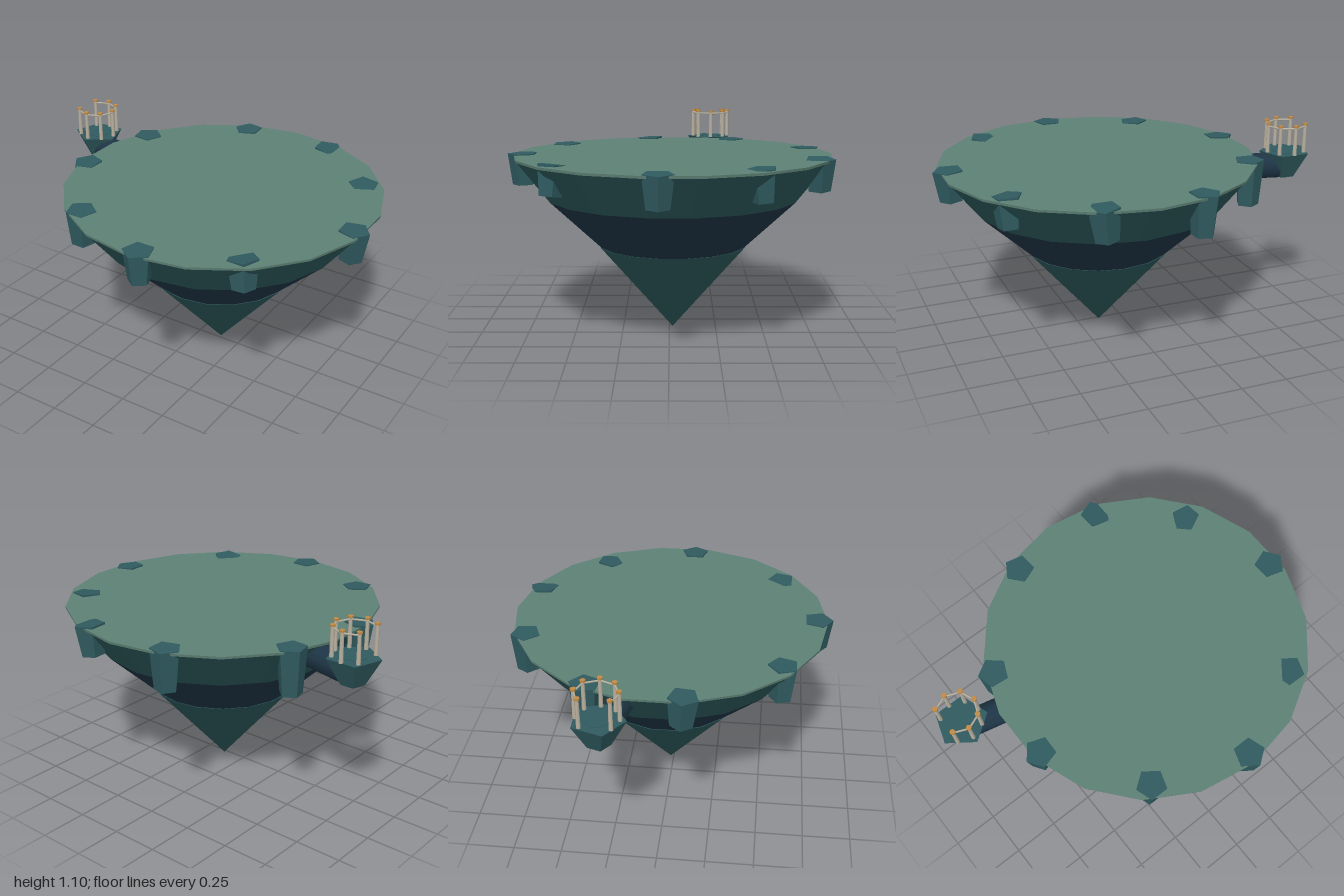
import * as THREE from 'three';

const mat = (color, flatShading = false) => new THREE.MeshStandardMaterial({ color, flatShading });

export function createModel() {
  const model = new THREE.Group();
  const grass = mat(0x5d8074), rock = mat(0x2b5658), darkRock = mat(0x1e3546);
  const boulderMat = mat(0x2f5a5f, true), stone = mat(0xb9b1a0), bronze = mat(0xc08a45);

  const add = (parent, name, geometry, material, x = 0, y = 0, z = 0) => {
    const mesh = new THREE.Mesh(geometry, material);
    mesh.name = name;
    mesh.position.set(x, y, z);
    parent.add(mesh);
    return mesh;
  };
  // Tapered drum spanning y0..y1
  const drum = (parent, name, rTop, rBottom, y0, y1, sides, material, x = 0, z = 0) =>
    add(parent, name, new THREE.CylinderGeometry(rTop, rBottom, y1 - y0, sides), material, x, (y0 + y1) / 2, z);

  // Floating island: grassy cap over three tapering rock layers
  const island = new THREE.Group();
  island.name = 'island';
  island.position.set(0.13, 0, -0.017);
  model.add(island);
  drum(island, 'grassTop', 0.84, 0.838, 0.932, 0.945, 18, grass);
  drum(island, 'upperRock', 0.832, 0.665, 0.72, 0.933, 18, rock);
  drum(island, 'middleRock', 0.665, 0.39, 0.46, 0.72, 18, darkRock);
  drum(island, 'lowerRock', 0, 0.4, 0, 0.465, 18, rock).rotation.x = Math.PI;

  // Rim boulders: x, z, bottom y, turn, tilt about x, tilt about z
  const boulders = [
    [0.91, 0.05, 0.785, 1.6, 0, -0.06],
    [0.6, 0.57, 0.795, 3.1, -0.08, 0.1],
    [0.15, 0.77, 0.785, 0, 0.02, 0],
    [-0.33, 0.59, 0.76, 3.14, 0.03, -0.03],
    [-0.655, 0.12, 0.785, -1.6, 0.06, 0.02],
    [-0.59, -0.36, 0.705, 3.05, 0, 0],
    [-0.14, -0.75, 0.735, -1.5, 0, 0.03],
    [0.37, -0.76, 0.785, 2.9, 0, -0.1],
    [0.74, -0.44, 0.79, -1.4, 0.08, -0.04],
  ];
  for (const [x, z, bottom, turn, tiltX, tiltZ] of boulders) {
    const b = drum(model, 'rimBoulder', 0.08, 0.06, bottom, 0.95, 5, boulderMat, x, z);
    b.rotation.set(tiltX, turn, tiltZ, 'XZY');
  }

  // Small outlying islet carrying an open colonnade
  const islet = new THREE.Group();
  islet.name = 'islet';
  islet.position.set(-0.868, 0, -0.25);
  model.add(islet);
  drum(islet, 'isletRock', 0.137, 0.06, 0.8, 0.94, 5, boulderMat);
  drum(islet, 'isletFloor', 0.065, 0.065, 0.93, 0.942, 16, boulderMat);

  // Columns on a ring of eight, with the outer (-x) one missing
  const ring = 0.105;
  const spot = (i, y) => new THREE.Vector3(Math.cos(i * Math.PI / 4) * ring, y, Math.sin(i * Math.PI / 4) * ring);
  for (let i = -3; i <= 3; i++) {
    const p = spot(i, 0);
    drum(islet, 'column', 0.009, 0.011, 0.938, 1.095, 8, stone, p.x, p.z);
    drum(islet, 'columnCap', 0.014, 0.014, 1.092, 1.102, 8, bronze, p.x, p.z);
    if (i < 3) {
      const path = new THREE.LineCurve3(spot(i, 1.084), spot(i + 1, 1.084));
      add(islet, 'beam', new THREE.TubeGeometry(path, 1, 0.005, 6), stone);
    }
  }

  // Rock bridge from the islet into the main island
  const bridge = add(model, 'rockBridge', new THREE.CylinderGeometry(0.07, 0.07, 0.36, 10), darkRock, -0.67, 0.858, -0.204);
  bridge.quaternion.setFromUnitVectors(new THREE.Vector3(0, 1, 0), new THREE.Vector3(0.974, 0, 0.227).normalize());

  return model;
}
